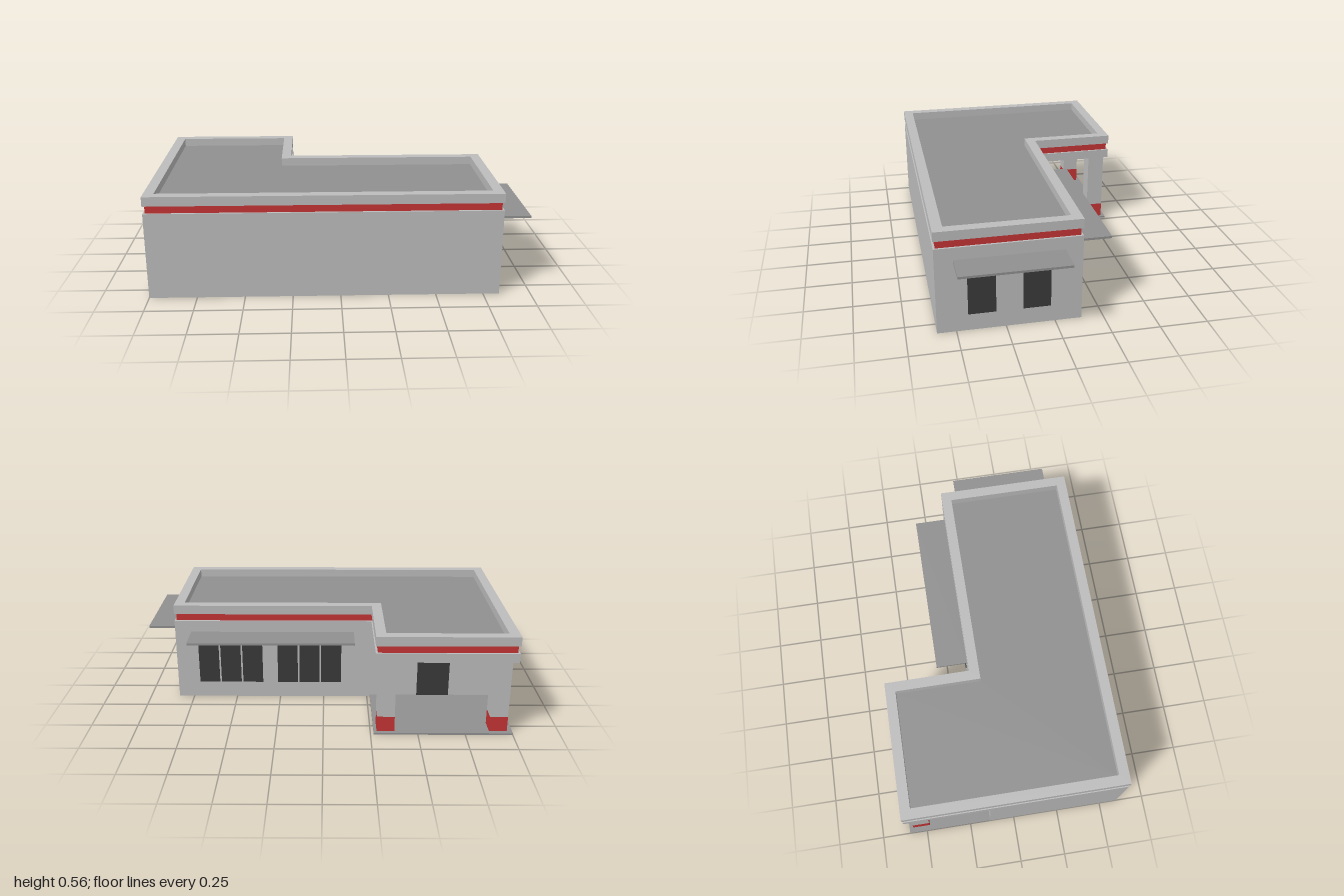
import * as THREE from 'three';

const mat = (name, color) => Object.assign(new THREE.MeshStandardMaterial({ color }), { name });

export function createModel() {
  const wall = mat('wall grey', 0xbcbcbc);
  const slab = mat('slab grey', 0x909090);
  const red = mat('band red', 0xc43434);
  const glass = mat('dark glass', 0x3a3a3a);

  const model = new THREE.Group();
  model.name = 'building';

  // footprint limits: main block plus an open wing at the back
  const X0 = -1, X1 = 0.835, XW = -0.267, Z0 = -0.597, ZB = -0.137, Z1 = 0.597;

  const add = (name, geometry, material) => {
    const mesh = new THREE.Mesh(geometry, material);
    mesh.name = name;
    model.add(mesh);
    return mesh;
  };

  // box given by its limits on each axis
  const box = (name, material, x0, x1, y0, y1, z0, z1) => {
    const g = new THREE.BoxGeometry(x1 - x0, y1 - y0, z1 - z0);
    g.translate((x0 + x1) / 2, (y0 + y1) / 2, (z0 + z1) / 2);
    return add(name, g, material);
  };

  // L-shaped outline, moved inward by d (shape y is -z)
  const outline = (d) => [
    [X0 + d, -Z1 + d], [X1 - d, -Z1 + d], [X1 - d, -ZB - d],
    [XW - d, -ZB - d], [XW - d, -Z0 - d], [X0 + d, -Z0 - d],
  ].map(([x, y]) => new THREE.Vector2(x, y));

  const lSlab = (name, material, inset, y0, y1, holeInset) => {
    const shape = new THREE.Shape(outline(inset));
    if (holeInset) shape.holes.push(new THREE.Path(outline(holeInset).reverse()));
    const g = new THREE.ExtrudeGeometry(shape, { depth: y1 - y0, bevelEnabled: false });
    g.rotateX(-Math.PI / 2).translate(0, y0, 0);
    return add(name, g, material);
  };

  // main block and open canopy
  box('mainWalls', wall, X0, X1, 0, 0.465, ZB, Z1);
  box('canopyFascia', wall, X0, XW, 0.415, 0.465, Z0, ZB);
  box('patioSlab', slab, X0, XW, 0, 0.01, Z0, ZB);

  // recessed band, parapet and sunken flat roof
  lSlab('redBand', red, 0.011, 0.465, 0.505);
  lSlab('parapet', wall, 0, 0.505, 0.555, 0.054);
  lSlab('roof', slab, 0.05, 0.5051, 0.51);

  // canopy columns with red bases
  for (const x of [-0.925, -0.33]) {
    box('columnBase', red, x - 0.047, x + 0.047, 0.01, 0.094, -0.574, -0.48);
    box('column', wall, x - 0.047, x + 0.047, 0.094, 0.415, -0.574, -0.48);
  }

  // thin awnings over the side and back windows
  box('sideAwning', slab, X1, 1, 0.388, 0.4, -0.047, 0.505);
  box('backAwning', slab, -0.17, 0.745, 0.388, 0.4, -0.309, ZB);

  // side windows
  for (const z of [0.37, 0.093]) {
    box('sideWindow', glass, X1, X1 + 0.004, 0.092, 0.325, z - 0.07, z + 0.07);
  }

  // two groups of three narrow panes at the back
  for (const start of [0.71, 0.262]) {
    for (let i = 0; i < 3; i++) {
      const x = start - i * 0.124;
      box('backWindow', glass, x - 0.114, x, 0.092, 0.325, ZB - 0.004, ZB);
    }
  }

  // door under the canopy
  box('door', glass, -0.72, -0.537, 0.01, 0.325, ZB - 0.004, ZB);

  return model;
}
